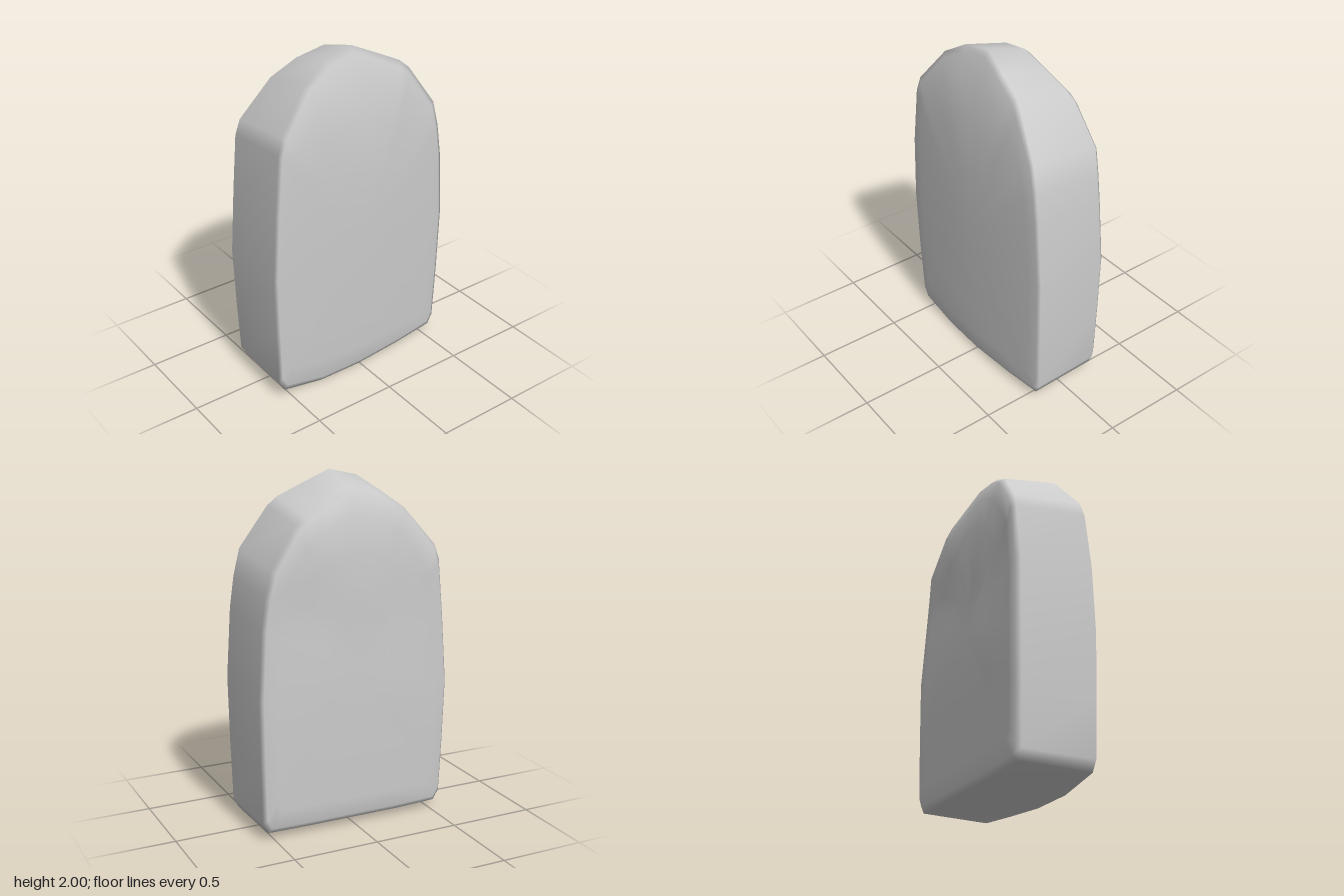
import * as THREE from 'three';

// Slightly irregular slab outline, counterclockwise seen from the front
const outline = [
  [0, 0.005], [0.3, 0.03], [0.55, 0.05], [0.58, 0.11], [0.588, 0.45], [0.593, 0.85], [0.565, 1.25],
  [0.54, 1.43], [0.505, 1.58], [0.35, 1.81], [0.295, 1.86], [0.15, 1.93], [0, 2], [-0.18, 1.96],
  [-0.33, 1.87], [-0.51, 1.65], [-0.54, 1.56], [-0.575, 1.22], [-0.597, 0.82], [-0.588, 0.45],
  [-0.575, 0.115], [-0.54, 0.055], [-0.28, 0.005],
];

// Half thickness by height, [y, z]
const frontDepth = [[0, 0.22], [0.06, 0.238], [0.5, 0.25], [1, 0.258], [1.35, 0.255], [1.6, 0.24], [1.76, 0.212], [2, 0.12]];
const backDepth = [[0.04, 0.24], [0.8, 0.25], [1.3, 0.232], [1.55, 0.245], [1.75, 0.215], [1.93, 0.15]];

function sample(table, y) {
  if (y <= table[0][0]) return table[0][1];
  for (let i = 1; i < table.length; i++) {
    const [y0, z0] = table[i - 1], [y1, z1] = table[i];
    if (y <= y1) return z0 + (z1 - z0) * (y - y0) / (y1 - y0);
  }
  return table[table.length - 1][1];
}

const CENTRE_Y = 0.95;
// The front bulges gently across its width; the back is nearly flat
const frontPoint = (x, y, s, drop) => {
  x *= s;
  y = CENTRE_Y + (y - CENTRE_Y) * s;
  return [x, y, sample(frontDepth, y) - 0.03 * ((x + 0.08) / 0.6) ** 2 - drop];
};
const backPoint = (x, y, s, drop) => {
  x *= 0.975 * s;
  y = CENTRE_Y + (Math.max(0.045, y * 0.965) - CENTRE_Y) * s;
  return [x, y, drop - sample(backDepth, y)];
};

function slabGeometry() {
  // Rings run from the middle of the front, over the rim, to the middle of the back
  const rings = [
    [frontPoint, 0.35, 0], [frontPoint, 0.65, 0], [frontPoint, 0.85, 0], [frontPoint, 0.965, 0], [frontPoint, 1, 0.008],
    [backPoint, 1, 0.025], [backPoint, 0.965, 0], [backPoint, 0.85, 0], [backPoint, 0.65, 0], [backPoint, 0.35, 0],
  ];
  const n = outline.length;
  const positions = [], index = [];
  for (const [place, s, drop] of rings) {
    for (const [x, y] of outline) positions.push(...place(x, y, s, drop));
  }
  const front = rings.length * n, back = front + 1;
  positions.push(...frontPoint(0, CENTRE_Y, 0, 0), ...backPoint(0, CENTRE_Y, 0, 0));
  const last = (rings.length - 1) * n;
  for (let i = 0; i < n; i++) {
    const j = (i + 1) % n;
    index.push(front, i, j, back, last + j, last + i);
    for (let r = 0; r < rings.length - 1; r++) {
      const a = r * n, b = a + n;
      index.push(a + i, b + i, b + j, a + i, b + j, a + j);
    }
  }
  const geometry = new THREE.BufferGeometry();
  geometry.setAttribute('position', new THREE.Float32BufferAttribute(positions, 3));
  geometry.setIndex(index);
  geometry.computeVertexNormals();
  return geometry;
}

export function createModel() {
  const group = new THREE.Group();
  group.name = 'standingStone';
  const slab = new THREE.Mesh(slabGeometry(), new THREE.MeshStandardMaterial({ color: 0xcccccc }));
  slab.name = 'stoneSlab';
  group.add(slab);
  return group;
}
